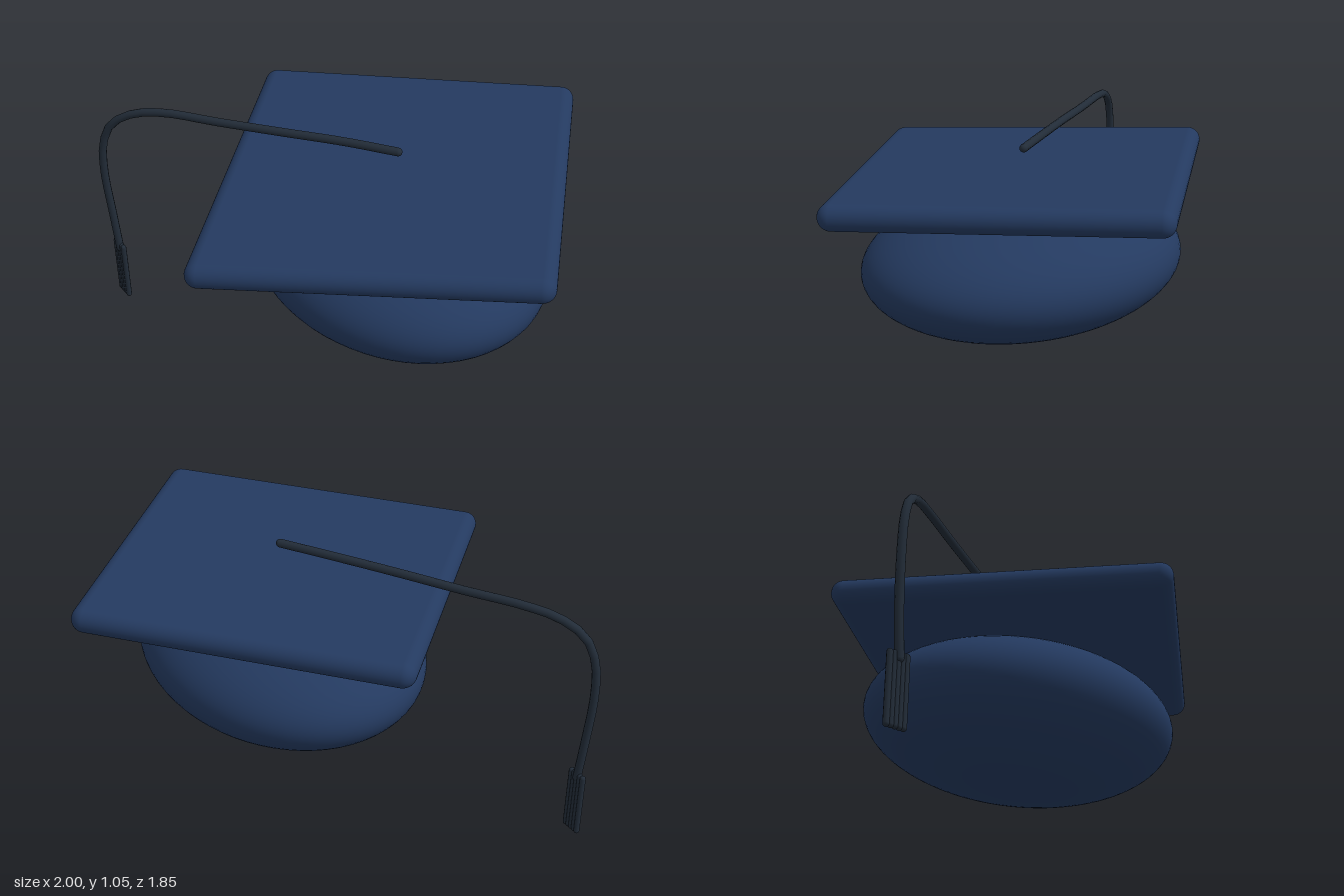
import * as THREE from 'three';
import { RoundedBoxGeometry } from 'three/addons/geometries/RoundedBoxGeometry.js';

const navy = new THREE.MeshStandardMaterial({ name: 'navy cloth', color: 0x243a60 });
const charcoal = new THREE.MeshStandardMaterial({ name: 'charcoal cord', color: 0x222c38 });

function addMesh(parent, name, geometry, material) {
  const mesh = new THREE.Mesh(geometry, material);
  mesh.name = name;
  parent.add(mesh);
  return mesh;
}

// Rounded square turned to a diamond, longer toward the front and slightly folded across the middle
function boardGeometry() {
  const g = new RoundedBoxGeometry(1.318, 0.105, 1.318, 5, 0.052);
  g.rotateY(-Math.PI / 4);
  const p = g.attributes.position;
  for (let i = 0; i < p.count; i++) {
    const z = p.getZ(i) * (p.getZ(i) > 0 ? 1.055 : 0.983);
    p.setZ(i, z);
    p.setY(i, p.getY(i) + 0.012 * (1 - Math.abs(z) / 0.93));
  }
  g.rotateX(0.059);
  return g;
}

export function createModel() {
  const model = new THREE.Group();
  model.name = 'graduationCap';

  // Domed crown
  const crown = addMesh(model, 'crown', new THREE.SphereGeometry(1, 64, 40), navy);
  crown.scale.set(0.685, 0.28, 0.55);
  crown.position.set(0.085, 0.58, -0.035);

  // Tilted board on top
  const board = addMesh(model, 'board', boardGeometry(), navy);
  board.position.set(0.085, 0.912, -0.035);

  // Cord from the middle of the board, over the edge and down
  const points = [
    [0.085, 1.035, -0.035], [-0.1, 1.032, 0.09], [-0.31, 1.022, 0.24], [-0.54, 1.01, 0.4],
    [-0.74, 1.003, 0.54], [-0.845, 0.975, 0.625], [-0.92, 0.91, 0.69], [-0.955, 0.81, 0.72],
    [-0.967, 0.66, 0.727], [-0.962, 0.45, 0.717], [-0.95, 0.26, 0.71],
  ].map((a) => new THREE.Vector3(...a));
  const path = new THREE.CatmullRomCurve3(points);
  addMesh(model, 'cord', new THREE.TubeGeometry(path, 30, 0.017, 10), charcoal);
  for (const end of [points[0], points[points.length - 1]]) {
    addMesh(model, 'cordEnd', new THREE.SphereGeometry(0.017, 12, 8), charcoal).position.copy(end);
  }

  // Tassel: a flat row of strands
  const tassel = new THREE.Group();
  tassel.name = 'tassel';
  for (let i = 0; i < 5; i++) {
    const strand = addMesh(tassel, 'strand', new THREE.CapsuleGeometry(0.012, 0.264, 4, 10), charcoal);
    strand.position.x = (i - 2) * 0.0165;
  }
  tassel.position.set(-0.955, 0.145, 0.708);
  tassel.rotation.z = -0.018;
  model.add(tassel);

  return model;
}
